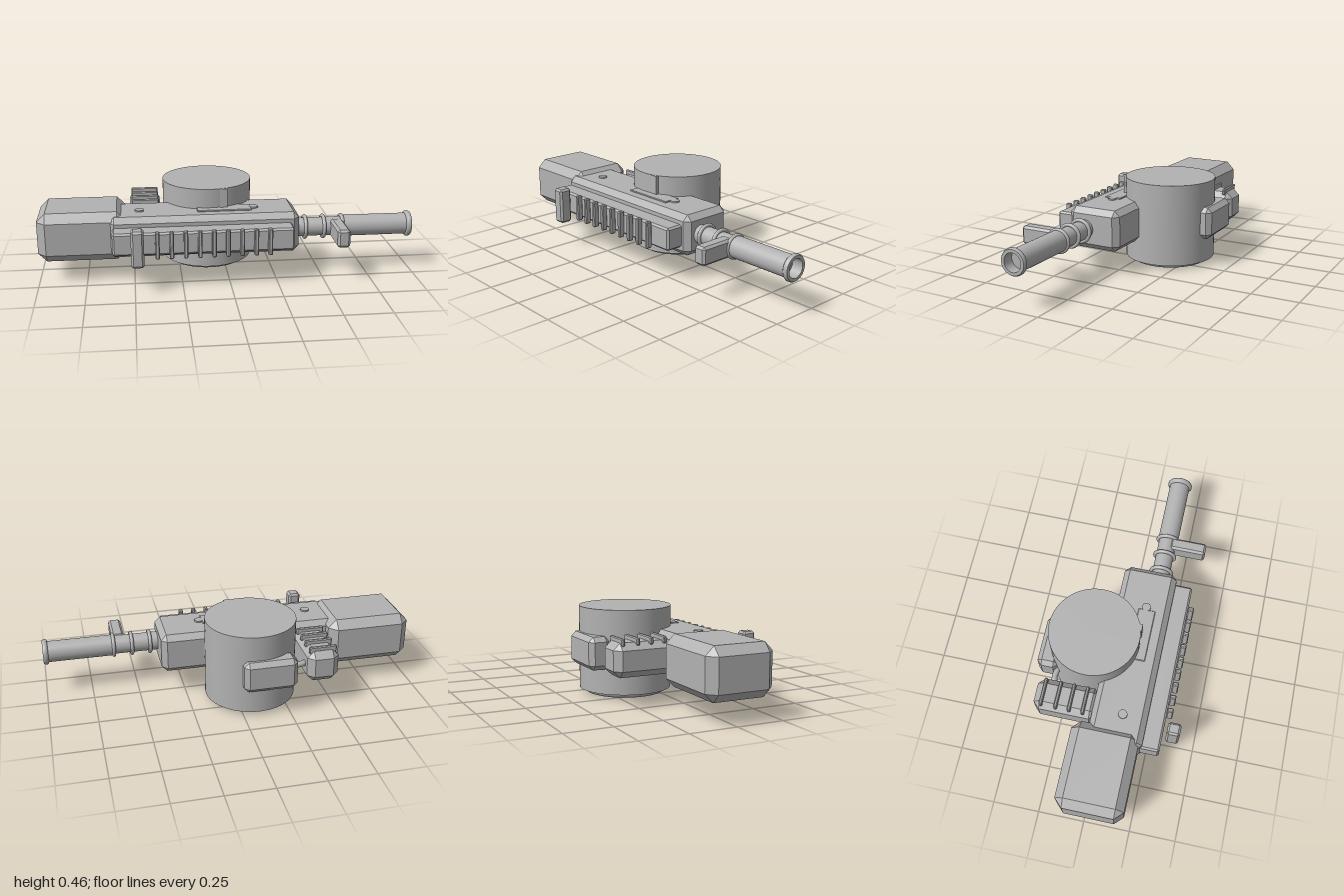
import * as THREE from 'three';
import { ConvexGeometry } from 'three/addons/geometries/ConvexGeometry.js';

const gray = new THREE.MeshStandardMaterial({ color: 0xb2b2b2 });
gray.name = 'plain gray';

// Box given by its limits, with every edge cut by a flat chamfer c
function chamferBox([x0, x1], [y0, y1], [z0, z1], c) {
  const half = [(x1 - x0) / 2, (y1 - y0) / 2, (z1 - z0) / 2];
  const points = [];
  for (const sx of [-1, 1]) for (const sy of [-1, 1]) for (const sz of [-1, 1])
    for (let full = 0; full < 3; full++) {
      const p = half.map((h, i) => (i === full ? h : h - c));
      points.push(new THREE.Vector3(sx * p[0], sy * p[1], sz * p[2]));
    }
  return new ConvexGeometry(points).translate((x0 + x1) / 2, (y0 + y1) / 2, (z0 + z1) / 2);
}

// Turned shape; each profile run gets its own lathe so corners stay sharp
function turned(group, name, runs, segments = 64) {
  const part = new THREE.Group();
  part.name = name;
  for (const run of runs) {
    const pts = run.map(([r, h]) => new THREE.Vector2(r, h));
    part.add(new THREE.Mesh(new THREE.LatheGeometry(pts, segments), gray));
  }
  group.add(part);
  return part;
}

export function createModel() {
  const model = new THREE.Group();
  model.name = 'model';
  const add = (name, geometry) => {
    const mesh = new THREE.Mesh(geometry, gray);
    mesh.name = name;
    model.add(mesh);
    return mesh;
  };

  // Main housing and rear stock
  add('housing', chamferBox([-0.63, 0.377], [0.134, 0.353], [-0.062, 0.23], 0.03));
  add('stock', chamferBox([-1, -0.54], [0.112, 0.375], [-0.148, 0.212], 0.045));

  // Side rail with its row of ribs and an end block
  add('sideRail', chamferBox([-0.61, 0.335], [0.182, 0.303], [0.21, 0.323], 0.01));
  for (let i = 0; i < 9; i++) {
    const x = -0.38 + i * 0.0729;
    add('railRib', chamferBox([x - 0.011, x + 0.011], [0.17, 0.314], [0.322, 0.355], 0.005));
  }
  add('railEndBlock', chamferBox([-0.515, -0.449], [0.146, 0.341], [0.341, 0.411], 0.011));

  // Large drum with a rounded foot ring around a shallow recess
  const drum = turned(model, 'drum', [
    [[0.243, 0.024], [0.243, 0.462]],
    [[0.243, 0.462], [0, 0.462]],
    [[0, 0.024], [0.243, 0.024]],
  ]);
  drum.position.set(-0.088, 0, -0.134);
  const foot = [];
  for (let i = 0; i <= 12; i++) {
    const a = Math.PI * i / 12;
    foot.push([0.193 - 0.025 * Math.cos(a), 0.024 - 0.024 * Math.sin(a)]);
  }
  turned(model, 'drumFoot', [foot]).position.copy(drum.position);
  add('drumKey', new THREE.BoxGeometry(0.04, 0.11, 0.05).translate(-0.015, 0.406, 0.083));

  // Block on the back of the drum
  add('backBlock', chamferBox([-0.28, 0.005], [0.157, 0.328], [-0.414, -0.3], 0.025));

  // Grip with raised slats, joined to the drum by a bent link
  add('grip', chamferBox([-0.515, -0.345], [0.157, 0.33], [-0.38, -0.04], 0.035));
  for (const z of [-0.335, -0.255, -0.183, -0.11])
    add('gripSlat', chamferBox([-0.505, -0.355], [0.315, 0.352], [z - 0.009, z + 0.009], 0.005));
  const link = new THREE.QuadraticBezierCurve3(
    new THREE.Vector3(-0.36, 0.243, -0.285),
    new THREE.Vector3(-0.33, 0.243, -0.325),
    new THREE.Vector3(-0.25, 0.243, -0.3));
  add('gripLink', new THREE.TubeGeometry(link, 12, 0.016, 12));

  // Cover plates and fastener heads on both broad faces
  for (const y of [0.353, 0.134]) {
    const s = y > 0.2 ? 1 : -1;
    for (const x of [-0.466, 0.145])
      add('fastener', new THREE.CylinderGeometry(0.024, 0.024, 0.016, 24).translate(x, y, 0.1));
    if (s > 0) add('coverPlate', chamferBox([-0.16, 0.13], [0.346, 0.36], [0.06, 0.153], 0.003));
  }

  // Barrel, built upright and then laid along +x
  const barrel = new THREE.Group();
  barrel.name = 'barrel';
  turned(barrel, 'barrelTube', [
    [[0.05, 0.36], [0.05, 0.62]],
    [[0.05, 0.62], [0.057, 0.62]],
    [[0.057, 0.62], [0.057, 0.98]],
  ], 48);
  turned(barrel, 'muzzle', [
    [[0.057, 0.972], [0.064, 0.974], [0.069, 0.98], [0.069, 0.992], [0.064, 1]],
    [[0.064, 1], [0.048, 1]],
    [[0.048, 1], [0.048, 0.94]],
    [[0.048, 0.94], [0, 0.94]],
  ], 48);
  for (const x of [0.42, 0.52, 0.62]) {
    const ring = new THREE.Mesh(new THREE.TorusGeometry(0.057, 0.01, 12, 48), gray);
    ring.name = 'barrelRing';
    ring.rotation.x = Math.PI / 2;
    ring.position.y = x;
    barrel.add(ring);
  }
  barrel.rotation.z = -Math.PI / 2;
  barrel.position.set(0, 0.243, 0.132);
  model.add(barrel);

  // Short handle below the barrel
  add('barrelHandle', chamferBox([0.555, 0.623], [0.194, 0.291], [0.15, 0.354], 0.012));

  return model;
}
